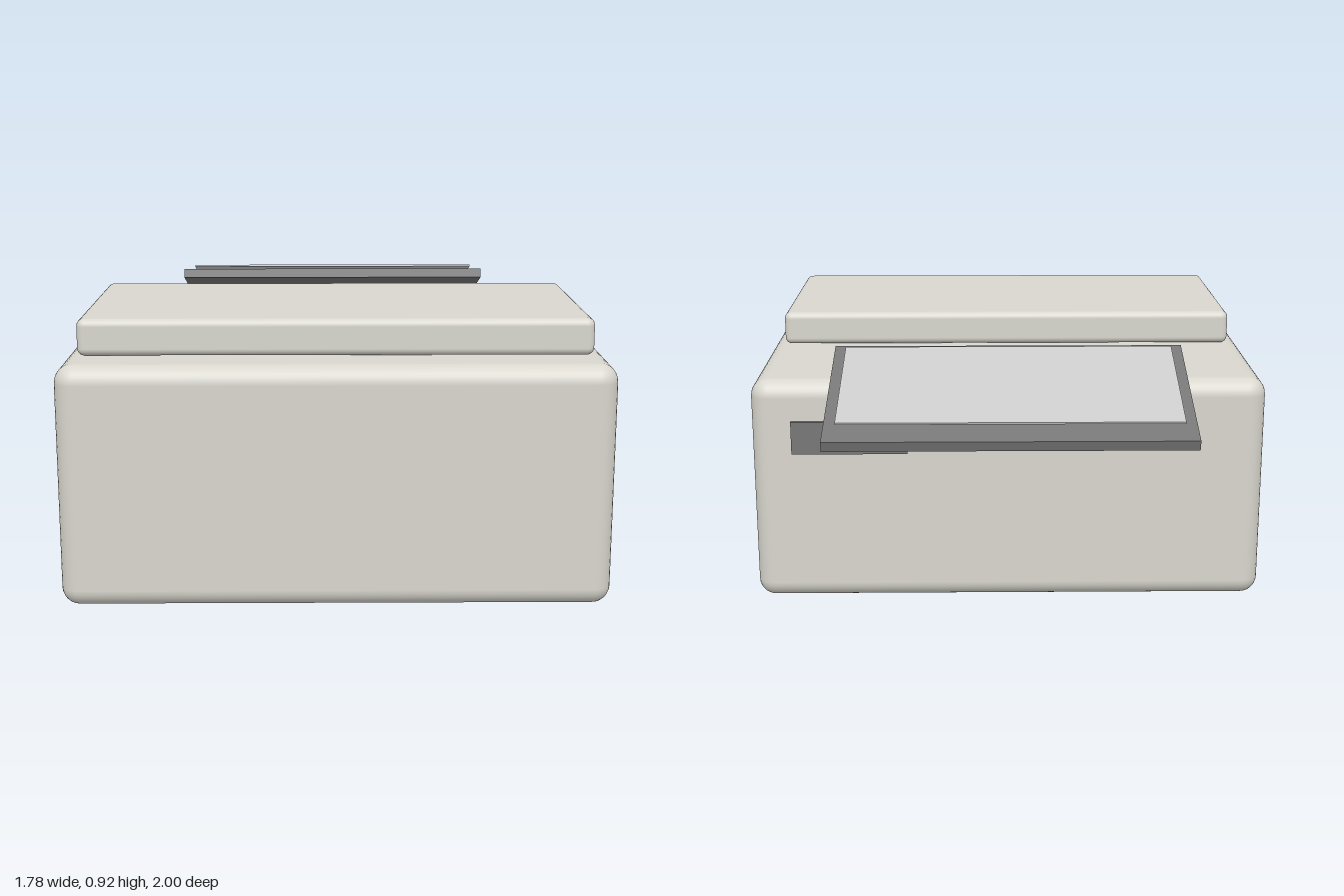
import * as THREE from 'three';
import { RoundedBoxGeometry } from 'three/addons/geometries/RoundedBoxGeometry.js';

const shell = new THREE.MeshStandardMaterial({ color: 0xd8d6cd });
const dark = new THREE.MeshStandardMaterial({ color: 0x777777 });
const grey = new THREE.MeshStandardMaterial({ color: 0xcccccc });

function add(parent, name, geometry, material, x, y, z) {
  const mesh = new THREE.Mesh(geometry, material);
  mesh.name = name;
  mesh.position.set(x, y, z);
  parent.add(mesh);
  return mesh;
}

export function createModel() {
  const model = new THREE.Group();

  // Main housing and the raised lid on its front half
  add(model, 'body', new RoundedBoxGeometry(1.78, 0.794, 1.51, 4, 0.06), shell, 0, 0.397, 0.245);
  add(model, 'lid', new RoundedBoxGeometry(1.666, 0.12, 0.794, 4, 0.024), shell, 0, 0.857, 0.444);

  // Socket plate on the back, towards the model's left
  add(model, 'backSocket', new THREE.BoxGeometry(0.4, 0.115, 0.03), dark, 0.55, 0.597, -0.508);

  // Tray floating behind the housing, sloping down to the rear, with a thin sheet above it
  const tray = new THREE.Group();
  tray.name = 'rearTray';
  tray.position.set(0, 0.796, -0.709);
  tray.rotation.x = -0.3;
  model.add(tray);
  add(tray, 'trayBoard', new THREE.BoxGeometry(1.19, 0.035, 0.595), dark, 0, 0, 0);
  add(tray, 'traySheet', new THREE.BoxGeometry(1.11, 0.007, 0.475), grey, 0, 0.038, 0.013);

  return model;
}
